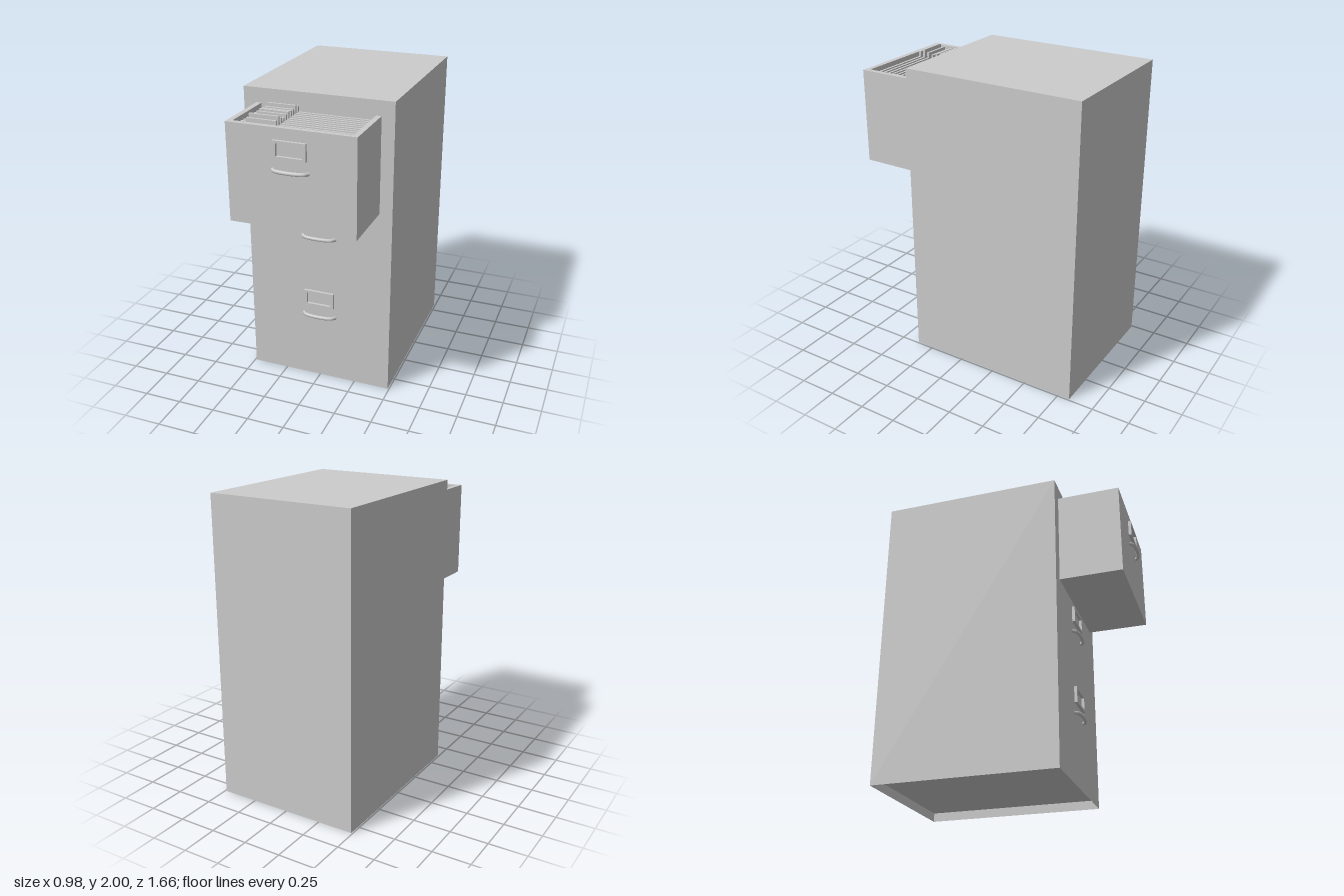
import * as THREE from 'three';

const grey = new THREE.MeshStandardMaterial({ color: 0xcccccc });
const thin = new THREE.MeshStandardMaterial({ color: 0xcccccc, side: THREE.DoubleSide });

function add(parent, name, geometry, x = 0, y = 0, z = 0, material = grey) {
  const mesh = new THREE.Mesh(geometry, material);
  mesh.name = name;
  mesh.position.set(x, y, z);
  parent.add(mesh);
  return mesh;
}

const rectPoints = (w, h) => [
  new THREE.Vector2(-w / 2, -h / 2), new THREE.Vector2(w / 2, -h / 2),
  new THREE.Vector2(w / 2, h / 2), new THREE.Vector2(-w / 2, h / 2),
];

// Label holder frame and curved pull, fixed to a front at depth z
function addHardware(parent, labelY, handleY, z) {
  const group = new THREE.Group();
  group.name = 'drawerHardware';
  const frame = new THREE.Shape(rectPoints(0.208, 0.11));
  frame.holes.push(new THREE.Path(rectPoints(0.166, 0.08).reverse()));
  add(group, 'labelFrame',
    new THREE.ExtrudeGeometry(frame, { depth: 0.019, bevelEnabled: false }), 0, labelY, z);

  const path = new THREE.CatmullRomCurve3([
    [-0.112, -0.004], [-0.094, 0.018], [-0.05, 0.03],
    [0.05, 0.03], [0.094, 0.018], [0.112, -0.004],
  ].map(([x, d]) => new THREE.Vector3(x, 0, d)));
  add(group, 'handle', new THREE.TubeGeometry(path, 16, 0.0125, 8), 0, handleY, z);
  parent.add(group);
}

export function createModel() {
  const model = new THREE.Group();
  model.name = 'filingCabinet';
  const front = 0.372, back = -0.83, drawerFront = 0.786;

  // Cabinet shell, open underneath, with a recessed base panel
  const depth = front - back;
  const shell = new THREE.BoxGeometry(0.98, 2, depth);
  const index = Array.from(shell.index.array);
  index.splice(18, 6);
  shell.setIndex(index);
  shell.clearGroups();
  add(model, 'cabinetBody', shell, 0, 1, (front + back) / 2, thin);
  const base = new THREE.PlaneGeometry(0.98, depth).rotateX(Math.PI / 2);
  add(model, 'basePanel', base, 0, 0.06, (front + back) / 2, thin);

  // Open top drawer: U-shaped wall and floor
  const drawer = new THREE.Group();
  drawer.name = 'openDrawer';
  model.add(drawer);
  const bottom = 1.28, top = 1.905, rear = front - 0.005;
  const wall = new THREE.Shape([
    [-0.406, -rear], [-0.406, -drawerFront], [0.406, -drawerFront], [0.406, -rear],
    [0.372, -rear], [0.372, -0.752], [-0.372, -0.752], [-0.372, -rear],
  ].map(([x, y]) => new THREE.Vector2(x, y)));
  const walls = new THREE.ExtrudeGeometry(wall, { depth: top - bottom, bevelEnabled: false });
  add(drawer, 'drawerWalls', walls.rotateX(-Math.PI / 2), 0, bottom, 0);
  add(drawer, 'drawerFloor', new THREE.BoxGeometry(0.744, 0.03, 0.752 - rear),
    0, bottom + 0.015, (0.752 + rear) / 2);

  // Hanging folders, each with an index tab on the right
  const tabTops = [1.92, 1.935, 1.92, 1.92, 1.925, 1.92, 1.908, 1.92, 1.937, 1.92];
  const folderTop = 1.885, folderBottom = bottom + 0.03;
  tabTops.forEach((tabTop, i) => {
    const z = 0.406 + i * 0.0345;
    add(drawer, 'folder', new THREE.BoxGeometry(0.71, folderTop - folderBottom, 0.016),
      0, (folderTop + folderBottom) / 2, z);
    add(drawer, 'folderTab', new THREE.BoxGeometry(0.19, tabTop - folderTop, 0.016),
      -0.205, (tabTop + folderTop) / 2, z);
  });

  // Hardware on the open drawer and the two closed ones
  addHardware(drawer, 1.778, 1.649, drawerFront);
  addHardware(model, 1.179, 1.05, front);
  addHardware(model, 0.6, 0.473, front);

  return model;
}
